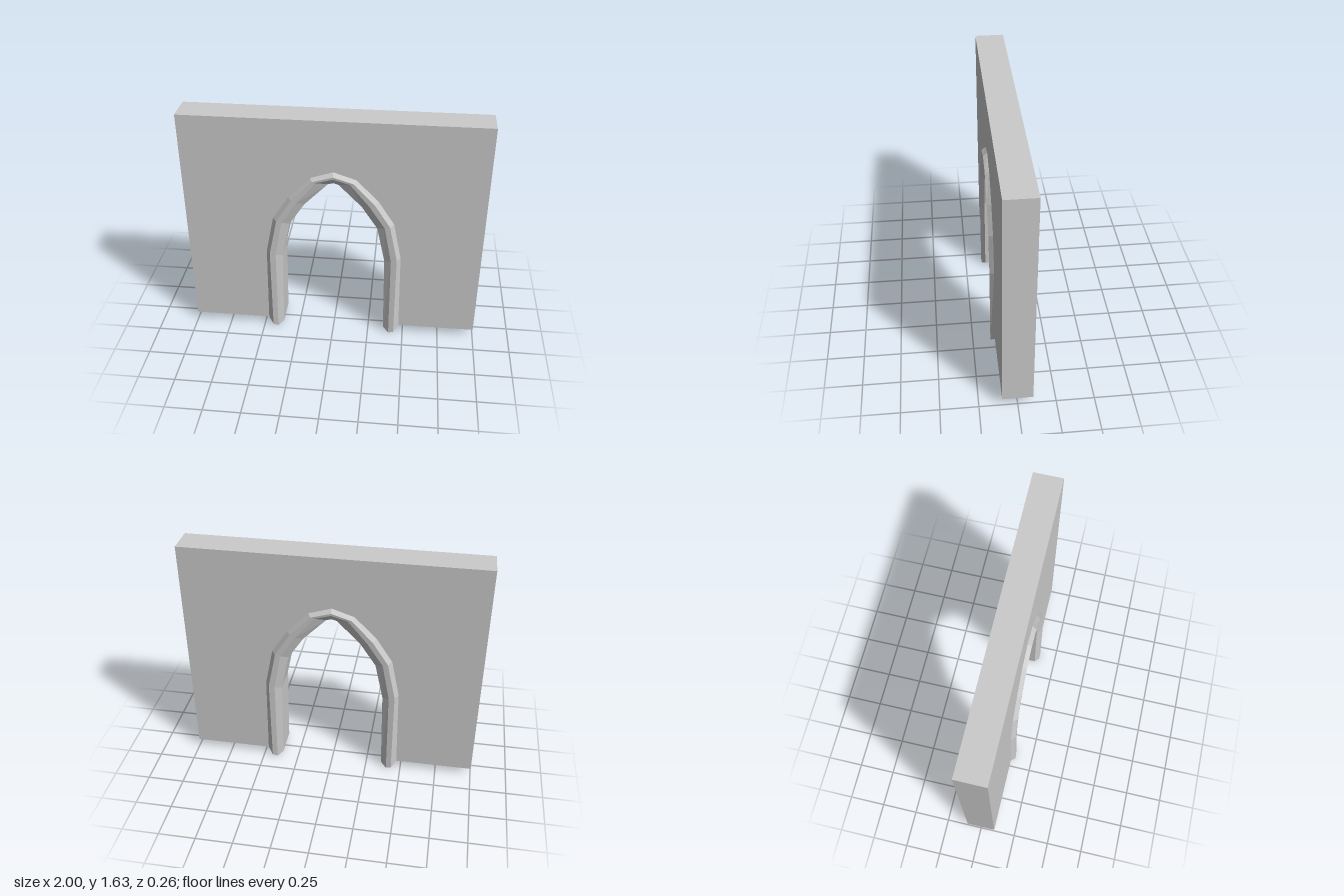
import * as THREE from 'three';

// Half-arch rails from foot to apex: outer edge, two crest lines, inner edge
const RAILS = [
  { z: 0.1, pts: [[0.47, 0.055], [0.46, 0.64], [0.405, 0.91], [0.297, 1.08], [0.15, 1.23], [0, 1.28]] },
  { z: 0.128, pts: [[0.435, 0.01], [0.435, 0.635], [0.38, 0.9], [0.275, 1.065], [0.135, 1.215], [0, 1.257]] },
  { z: 0.126, pts: [[0.4, 0], [0.395, 0.625], [0.345, 0.89], [0.24, 1.05], [0.11, 1.208], [0, 1.24]] },
  { z: 0.1, pts: [[0.36, 0.03], [0.35, 0.61], [0.295, 0.87], [0.19, 1.03], [0.035, 1.19], [0, 1.2]] },
];

// Full arch line from the +x foot over the apex to the -x foot
const mirrored = (pts) => [...pts, ...pts.slice(0, -1).reverse().map(([x, y]) => [-x, y])];

function trimGeometry() {
  const front = RAILS.map(({ z, pts }) => mirrored(pts).map(([x, y]) => [x, y, z]));
  const back = front.map((rail) => rail.map(([x, y, z]) => [x, y, -z])).reverse();
  const rails = [...front, ...back];
  const n = rails.length, last = rails[0].length - 1;
  const pos = [];
  const quad = (a, b, c, d) => pos.push(...a, ...b, ...c, ...b, ...d, ...c);

  // Sides of the swept moulding
  for (let k = 0; k < n; k++) {
    const r = rails[k], s = rails[(k + 1) % n];
    for (let i = 0; i < last; i++) quad(r[i], r[i + 1], s[i], s[i + 1]);
  }
  // Rounded feet
  for (let k = 0; k < RAILS.length - 1; k++) {
    const f = rails[k], g = rails[k + 1], bf = rails[n - 1 - k], bg = rails[n - 2 - k];
    quad(f[0], g[0], bf[0], bg[0]);
    quad(f[last], bf[last], g[last], bg[last]);
  }
  const geo = new THREE.BufferGeometry();
  geo.setAttribute('position', new THREE.Float32BufferAttribute(pos, 3));
  geo.computeVertexNormals();
  return geo;
}

function wallGeometry() {
  const base = 0.055, top = 1.635;
  // Opening edge lies hidden inside the moulding
  const opening = mirrored(RAILS[1].pts).map(([x, y]) => [x, Math.max(y, base)]);
  const outline = [[1, base], [1, top], [-1, top], [-1, base], ...opening.reverse()];
  const shape = new THREE.Shape(outline.map(([x, y]) => new THREE.Vector2(x, y)));
  return new THREE.ExtrudeGeometry(shape, { depth: 0.2, bevelEnabled: false }).translate(0, 0, -0.1);
}

export function createModel() {
  const group = new THREE.Group();
  group.name = 'archedWall';
  const material = new THREE.MeshStandardMaterial({ color: 0xcccccc, flatShading: true });
  const add = (name, geometry) => {
    const mesh = new THREE.Mesh(geometry, material);
    mesh.name = name;
    group.add(mesh);
  };
  add('wall', wallGeometry());
  add('archTrim', trimGeometry());
  return group;
}
